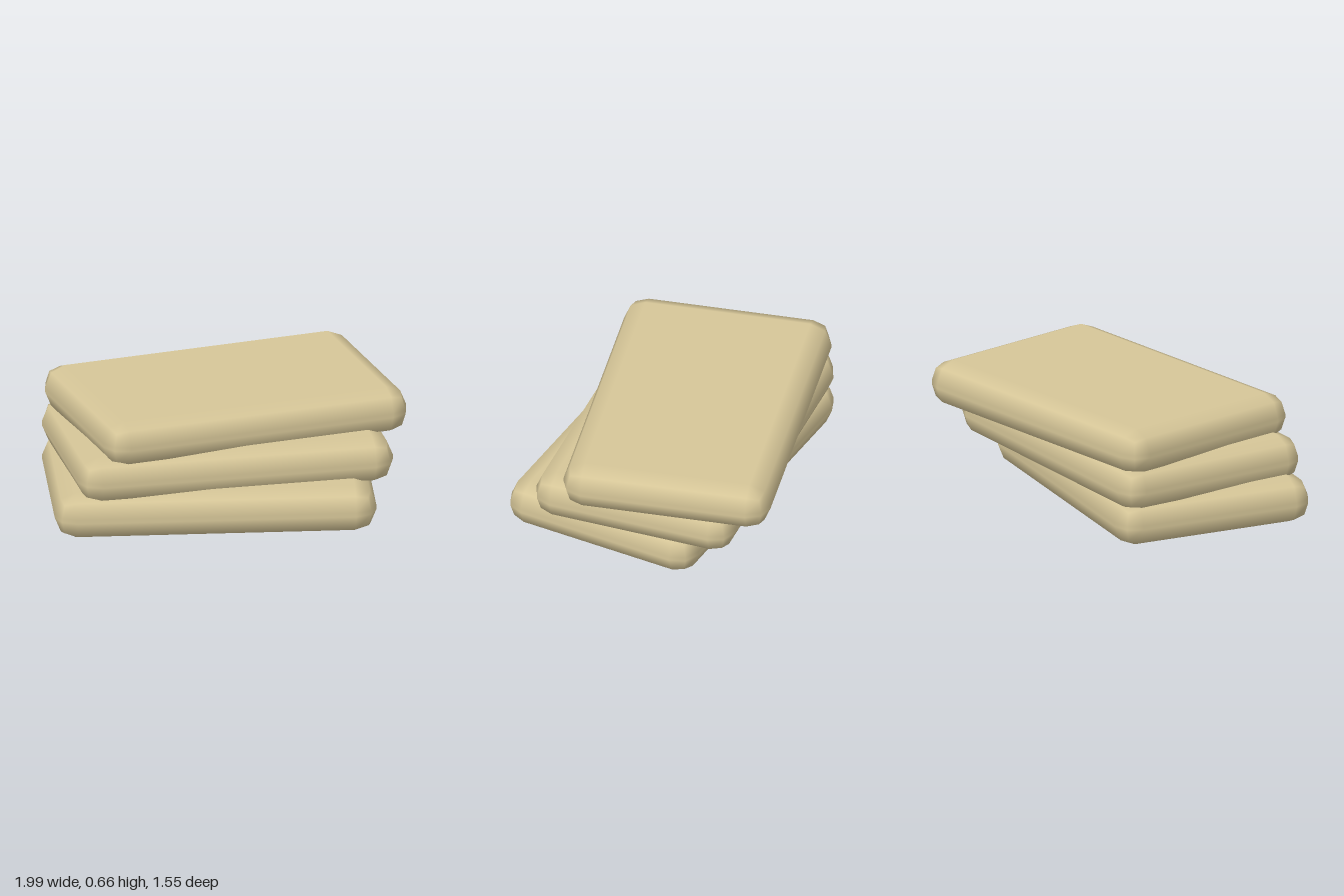
import * as THREE from 'three';
import { RoundedBoxGeometry } from 'three/addons/geometries/RoundedBoxGeometry.js';

export function createModel() {
  const group = new THREE.Group();
  group.name = 'slabStack';

  const sand = new THREE.MeshStandardMaterial({ color: 0xd6c698 });
  sand.name = 'sand';

  // One soft-edged slab, shared by the three layers
  const height = 0.258;
  const geometry = new RoundedBoxGeometry(1.75, height, 1.15, 1, 0.118);

  // Layers fan out, each one turned and shifted from the one below
  const layers = [
    { name: 'bottomSlab', x: -0.067, z: 0.097, turn: -0.14 },
    { name: 'middleSlab', x: 0, z: -0.003, turn: 0 },
    { name: 'topSlab', x: 0.067, z: -0.101, turn: 0.14 },
  ];
  layers.forEach(({ name, x, z, turn }, i) => {
    const slab = new THREE.Mesh(geometry, sand);
    slab.name = name;
    slab.position.set(x, height / 2 + i * 0.201, z);
    slab.rotation.y = turn;
    group.add(slab);
  });

  return group;
}
